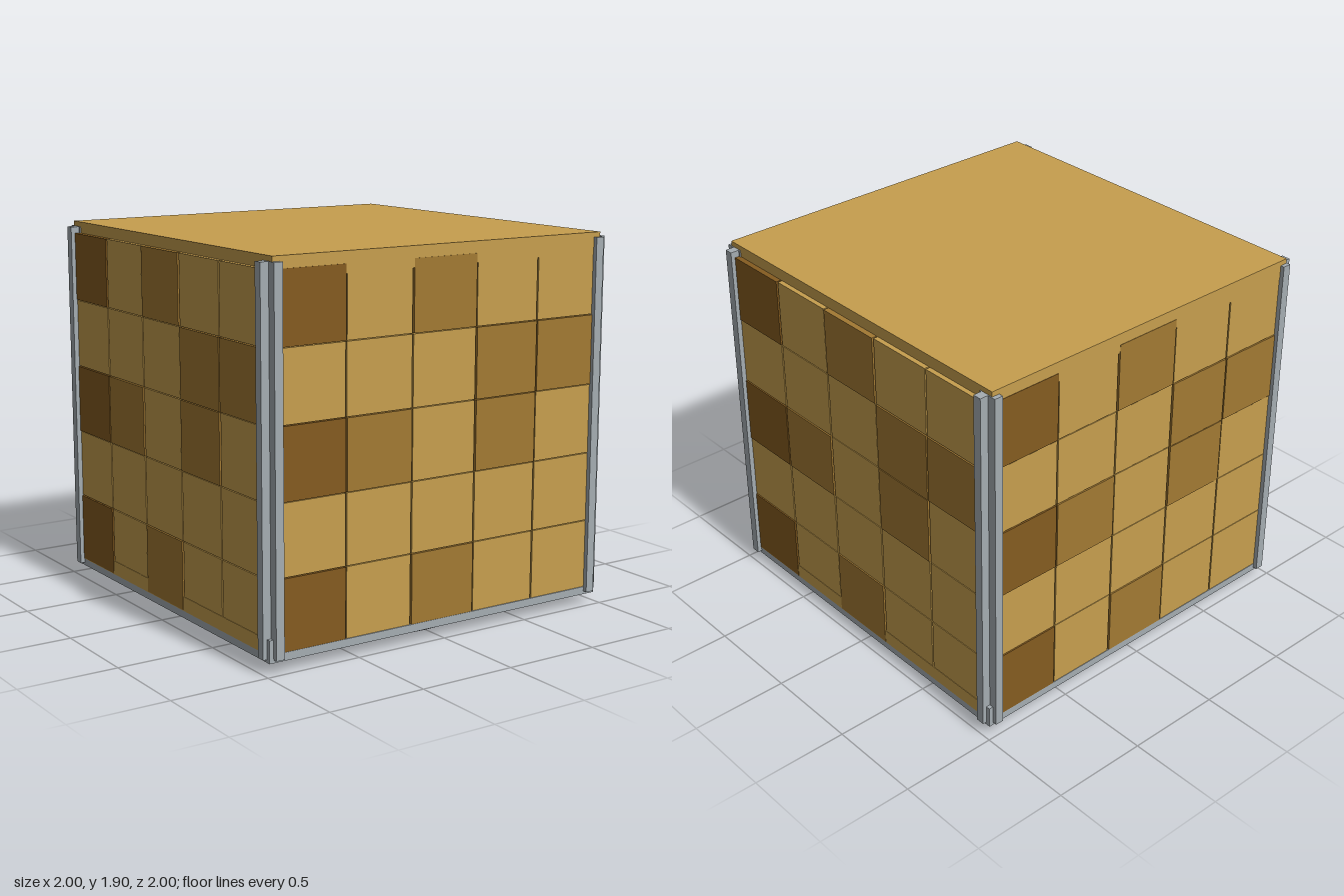
import * as THREE from 'three';

const mat = (name, color) => {
  const m = new THREE.MeshStandardMaterial({ color });
  m.name = name;
  return m;
};

export function createModel() {
  const model = new THREE.Group();
  model.name = 'tiledCrate';

  const light = mat('lightWood', 0xc79f4e);
  const medium = mat('mediumWood', 0xa37a33);
  const dark = mat('darkWood', 0x855c20);
  const metal = mat('greyMetal', 0xa5adb2);

  // Box given by its min and max corners
  const box = (parent, name, material, [x0, y0, z0], [x1, y1, z1]) => {
    const mesh = new THREE.Mesh(new THREE.BoxGeometry(x1 - x0, y1 - y0, z1 - z0), material);
    mesh.position.set((x0 + x1) / 2, (y0 + y1) / 2, (z0 + z1) / 2);
    mesh.name = name;
    parent.add(mesh);
    return mesh;
  };

  // Body, lid, floor panel and metal base
  box(model, 'core', light, [-0.95, 0.09, -0.95], [0.95, 1.82, 0.95]);
  box(model, 'lid', light, [-0.95, 1.803, -0.977], [0.95, 1.905, 0.977]);
  box(model, 'floorPanel', light, [-0.977, 0.092, -0.95], [0.977, 0.165, 0.95]);
  box(model, 'basePlate', metal, [-0.976, 0.055, -0.976], [0.976, 0.094, 0.976]);

  // Low foot ring with softly shaded edges
  const profile = [[0.73, 0.06], [0.73, 0], [0.85, 0], [0.85, 0.06]]
    .map(([r, y]) => new THREE.Vector2(r, y));
  const ring = new THREE.Mesh(new THREE.LatheGeometry(profile, 64), metal);
  ring.name = 'footRing';
  model.add(ring);

  // Tile shades, top row first: L light, M medium, D dark
  const pattern = ['DLMLL', 'LLLMM', 'DMLML', 'LLLLL', 'DLMLL'];
  const shades = { L: light, M: medium, D: dark };
  const cell = 0.372, rowHeight = 0.351, gap = 0.004;

  // The same wall and corner repeat on all four sides
  for (let side = 0; side < 4; side++) {
    const wall = new THREE.Group();
    wall.name = 'wall';
    wall.rotation.y = side * Math.PI / 2;
    model.add(wall);

    pattern.forEach((row, r) => [...row].forEach((key, c) => {
      const x = -2.5 * cell + c * cell;
      const top = 1.847 - r * rowHeight;
      // Darker tiles stand slightly proud of the light ones
      const front = key === 'L' ? 0.975 : 0.979;
      box(wall, 'tile', shades[key],
        [x + gap, top - rowHeight + gap, 0.94], [x + cell - gap, top, front]);
    }));

    // Pair of corner rails and the short clip at their foot
    box(wall, 'frontRail', metal, [0.91, 0.07, 0.9], [0.955, 1.88, 0.998]);
    box(wall, 'sideRail', metal, [0.9, 0.07, 0.91], [1.0, 1.88, 0.955]);
    box(wall, 'cornerClip', metal, [0.93, 0.055, 0.93], [0.977, 0.165, 0.977]);
  }
  return model;
}
